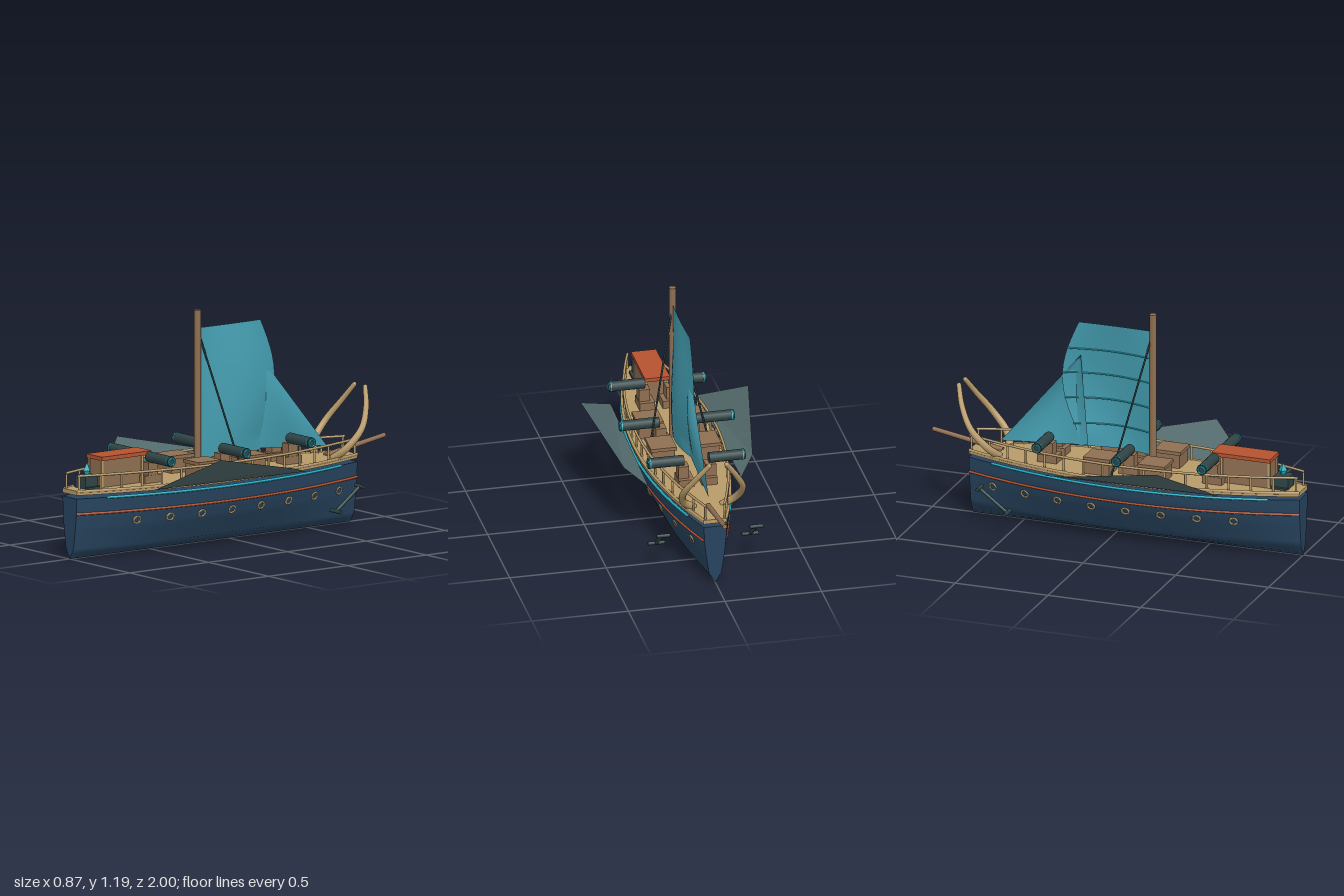
import * as THREE from 'three';
import { ParametricGeometry } from 'three/addons/geometries/ParametricGeometry.js';

const V = (x, y, z) => new THREE.Vector3(x, y, z);
const BOW = -0.78, STERN = 1.0;
const lerp = THREE.MathUtils.lerp;

// Half width of the hull at deck level
const halfWidth = z => {
  const t = (z - 0.11) / 0.89;
  return 0.06 + 0.16 * (1 - t * t);
};

// Half cross-section, from the top edge to the keel
const SECTION = [[0.215, 0.314], [0.205, 0.24], [0.182, 0.175], [0.15, 0.115], [0.116, 0.053], [0, 0]];
function sectionX(y) {
  for (let i = 0; i < SECTION.length - 1; i++) {
    const [x0, y0] = SECTION[i], [x1, y1] = SECTION[i + 1];
    if (y >= y1) return lerp(x0, x1, (y0 - y) / (y0 - y1));
  }
  return 0;
}
const hullX = (y, z) => sectionX(y) * halfWidth(z) / 0.22;

export function createModel() {
  const root = new THREE.Group();
  root.name = 'sailingShip';
  const mat = (name, color, side = THREE.FrontSide) => {
    const m = new THREE.MeshStandardMaterial({ color, side });
    m.name = name;
    return m;
  };
  const navy = mat('navyHull', 0x27445f);
  const tan = mat('paleWood', 0xb89b6a);
  const brown = mat('brownWood', 0x8f6f52);
  const rust = mat('rustRed', 0xb4532f);
  const iron = mat('darkIron', 0x2f4446);
  const teal = mat('brightTeal', 0x25b2c4);
  const cloth = mat('tealCloth', 0x449db0, THREE.DoubleSide);
  const wingCloth = mat('greyCloth', 0x52696b, THREE.DoubleSide);

  const add = (name, geo, m, x = 0, y = 0, z = 0) => {
    const mesh = new THREE.Mesh(geo, m);
    mesh.name = name;
    mesh.position.set(x, y, z);
    root.add(mesh);
    return mesh;
  };
  const box = (name, m, w, h, d, x, y, z) => add(name, new THREE.BoxGeometry(w, h, d), m, x, y, z);
  const rod = (name, m, a, b, r, sides = 10, r2 = r) => {
    const dir = b.clone().sub(a);
    const mesh = add(name, new THREE.CylinderGeometry(r2, r, dir.length(), sides), m);
    mesh.position.copy(a).add(b).multiplyScalar(0.5);
    mesh.quaternion.setFromUnitVectors(V(0, 1, 0), dir.normalize());
    return mesh;
  };
  // Tube running lengthwise along the side of the ship
  const sideTube = (name, m, z0, z1, y, r, xAt) => {
    const pts = [];
    for (let i = 0; i <= 20; i++) {
      const z = lerp(z0, z1, i / 20);
      pts.push(V(xAt(z), y, z));
    }
    add(name, new THREE.TubeGeometry(new THREE.CatmullRomCurve3(pts), 40, r, 6), m);
  };

  // Hull skin
  const n = SECTION.length - 1;
  add('hull', new ParametricGeometry((u, v, p) => {
    const s = v * 2 * n, k = s <= n ? s : 2 * n - s;
    const i = Math.min(Math.floor(k), n - 1), f = k - i;
    const z = lerp(BOW, STERN, u);
    const x = lerp(SECTION[i][0], SECTION[i + 1][0], f) * halfWidth(z) / 0.22;
    p.set(s <= n ? x : -x, lerp(SECTION[i][1], SECTION[i + 1][1], f), z);
  }, 40, 4 * n), navy);

  // Hull ends
  for (const [z, turn] of [[STERN, 0], [BOW, Math.PI]]) {
    const k = halfWidth(z) / 0.22;
    const half = SECTION.map(([x, y]) => new THREE.Vector2(x * k, y));
    const other = half.slice(0, -1).reverse().map(p => new THREE.Vector2(-p.x, p.y));
    add('hullEnd', new THREE.ShapeGeometry(new THREE.Shape([...half, ...other])), navy, 0, 0, z).rotation.y = turn;
  }

  // Deck and the closed top of the hull
  const plan = scale => {
    const a = [], b = [];
    for (let i = 0; i <= 24; i++) {
      const z = lerp(BOW, STERN, i / 24), x = halfWidth(z) * scale;
      a.push(new THREE.Vector2(x, z));
      b.unshift(new THREE.Vector2(-x, z));
    }
    return new THREE.Shape([...a, ...b]);
  };
  const plate = (name, m, scale, depth, top) => {
    const g = new THREE.ExtrudeGeometry(plan(scale), { depth, bevelEnabled: false });
    g.rotateX(Math.PI / 2);
    add(name, g, m, 0, top, 0);
  };
  plate('hullTop', navy, 0.97, 0.006, 0.315);
  plate('deck', tan, 1, 0.022, 0.355);

  for (const s of [-1, 1]) {
    // Painted trim and railings
    sideTube('rustStripe', rust, BOW, STERN, 0.236, 0.007, z => s * hullX(0.236, z));
    sideTube('tealTrim', teal, -0.64, 0.85, 0.315, 0.007, z => s * halfWidth(z));
    sideTube('gunwale', tan, BOW, STERN, 0.352, 0.008, z => s * (halfWidth(z) - 0.004));
    sideTube('topRail', tan, BOW, 0.99, 0.43, 0.007, z => s * (halfWidth(z) - 0.014));
    for (let i = 0; i <= 16; i++) {
      const z = lerp(BOW + 0.01, 0.98, i / 16), x = s * (halfWidth(z) - 0.014);
      rod('railPost', tan, V(x, 0.35, z), V(x, 0.43, z), 0.006, 6);
    }

    // Portholes
    for (let i = 0; i < 8; i++) {
      const z = 0.673 - i * 0.1876;
      const slope = (hullX(0.185, z + 0.02) - hullX(0.185, z - 0.02)) / 0.04;
      const ring = add('porthole', new THREE.TorusGeometry(0.019, 0.005, 6, 16), tan, s * hullX(0.185, z), 0.185, z);
      ring.lookAt(ring.position.clone().add(V(s, -0.32, -slope)));
    }

    // Deck hatches with lids
    for (const z of [-0.048, 0.247]) {
      box('hatch', brown, 0.12, 0.075, 0.13, s * 0.115, 0.392, z);
      box('hatchLid', brown, 0.134, 0.018, 0.144, s * 0.115, 0.436, z);
    }

    // Cannons on stepped mounts
    for (const [z, mx, x0, x1] of [[-0.345, 0.06, 0.065, 0.25], [0.1, 0.075, 0.09, 0.295], [0.545, 0.06, 0.065, 0.25]]) {
      box('cannonBase', brown, 0.08, 0.04, 0.105, s * mx, 0.375, z);
      box('cannonMount', brown, 0.055, 0.07, 0.06, s * (mx + 0.01), 0.425, z);
      rod('cannonBarrel', iron, V(s * x0, 0.484, z), V(s * x1, 0.484, z), 0.027, 16);
      rod('cannonBand', teal, V(s * (x1 - 0.013), 0.484, z), V(s * (x1 - 0.008), 0.484, z), 0.0285, 16);
      add('muzzleRing', new THREE.TorusGeometry(0.018, 0.004, 6, 16), teal, s * x1, 0.484, z).rotation.y = Math.PI / 2;
    }

    // Side wings
    const wing = new THREE.BufferGeometry().setFromPoints([
      V(s * 0.22, 0.345, 0.624), V(s * 0.434, 0.5, 0.37), V(s * 0.333, 0.384, -0.17), V(s * 0.24, 0.34, -0.32)]);
    wing.setIndex(s > 0 ? [0, 1, 2, 0, 2, 3] : [0, 2, 1, 0, 3, 2]);
    const flat = wing.toNonIndexed();
    flat.computeVertexNormals();
    add('sideWing', flat, wingCloth);

    // Mast stays
    rod('stay', iron, V(s * 0.008, 1.05, 0.18), V(s * 0.16, 0.355, 0.025), 0.005, 6);

    // Tapered bow tusks
    const curve = new THREE.CatmullRomCurve3([V(s * 0.075, 0.35, -0.61), V(s * 0.135, 0.405, -0.65),
      V(s * 0.152, 0.5, -0.735), V(s * 0.105, 0.6, -0.8), V(s * 0.045, 0.69, -0.84)]);
    const tusk = new THREE.TubeGeometry(curve, 24, 0.021, 10);
    const pos = tusk.attributes.position, p = V(0, 0, 0);
    for (let i = 0; i < pos.count; i++) {
      const t = Math.floor(i / 11) / 24, c = curve.getPointAt(t);
      p.fromBufferAttribute(pos, i).sub(c).multiplyScalar(1 - 0.42 * t).add(c);
      pos.setXYZ(i, p.x, p.y, p.z);
    }
    add('tusk', tusk, tan);
    const tip = curve.getPointAt(1);
    add('tuskTip', new THREE.SphereGeometry(0.0122, 10, 6), tan, tip.x, tip.y, tip.z);

    // Anchors
    rod('anchorShank', iron, V(s * 0.243, 0.228, -0.655), V(s * 0.243, 0.115, -0.505), 0.009, 8);
    rod('anchorStock', iron, V(s * 0.206, 0.228, -0.655), V(s * 0.275, 0.228, -0.655), 0.01, 8);
    rod('anchorArms', iron, V(s * 0.2, 0.115, -0.505), V(s * 0.286, 0.115, -0.505), 0.01, 8);
  }

  // Mast and bowsprit
  rod('mast', brown, V(0, 0.35, 0.19), V(0, 1.19, 0.19), 0.018, 14);
  rod('bowsprit', brown, V(0, 0.355, -0.62), V(0, 0.42, -0.998), 0.014, 10, 0.012);

  // Main sail, bellied to one side
  const sailPoint = (u, v, p) => {
    const y = lerp(0.43, 1.097, v);
    const end = -0.21 - 0.09 * Math.sin(Math.PI * Math.min(1, (1 - v) * 1.1));
    return p.set(0.05 * Math.sin(Math.PI * u) * Math.sin(Math.PI * (0.25 + 0.72 * v)), y, lerp(0.178, end, u));
  };
  add('mainSail', new ParametricGeometry(sailPoint, 14, 14), cloth);
  for (const v of [0.18, 0.38, 0.58, 0.78]) {
    const pts = [];
    for (let i = 0; i <= 10; i++) pts.push(sailPoint(i / 10, v, V(0, 0, 0)).add(V(-0.005, 0, 0)));
    add('sailBatten', new THREE.TubeGeometry(new THREE.CatmullRomCurve3(pts), 20, 0.004, 6), teal);
  }

  // Fore sail
  const peak = V(0, 0.92, -0.2), tack = V(0, 0.405, -0.63), clew = V(0, 0.44, -0.16);
  add('foreSail', new ParametricGeometry((u, v, p) => {
    p.copy(clew).lerp(tack, u).lerp(peak, v);
    p.x = 0.03 * Math.sin(Math.PI * u) * Math.sin(Math.PI * v);
  }, 12, 12), cloth);

  // Stern cabin
  box('cabin', brown, 0.104, 0.145, 0.255, 0, 0.425, 0.707);
  box('cabinRoof', rust, 0.13, 0.02, 0.315, 0, 0.504, 0.687);
  for (const x of [-0.05, 0.05]) for (const z of [0.58, 0.835])
    box('cabinPost', tan, 0.012, 0.14, 0.012, x, 0.425, z);

  // Stern lantern
  box('lanternBase', iron, 0.085, 0.065, 0.08, 0, 0.387, 0.893);
  box('lanternFoot', iron, 0.115, 0.01, 0.085, 0, 0.36, 0.885);
  add('lanternCrystal', new THREE.OctahedronGeometry(0.024), teal, 0, 0.443, 0.89).scale.y = 1.7;

  return root;
}
